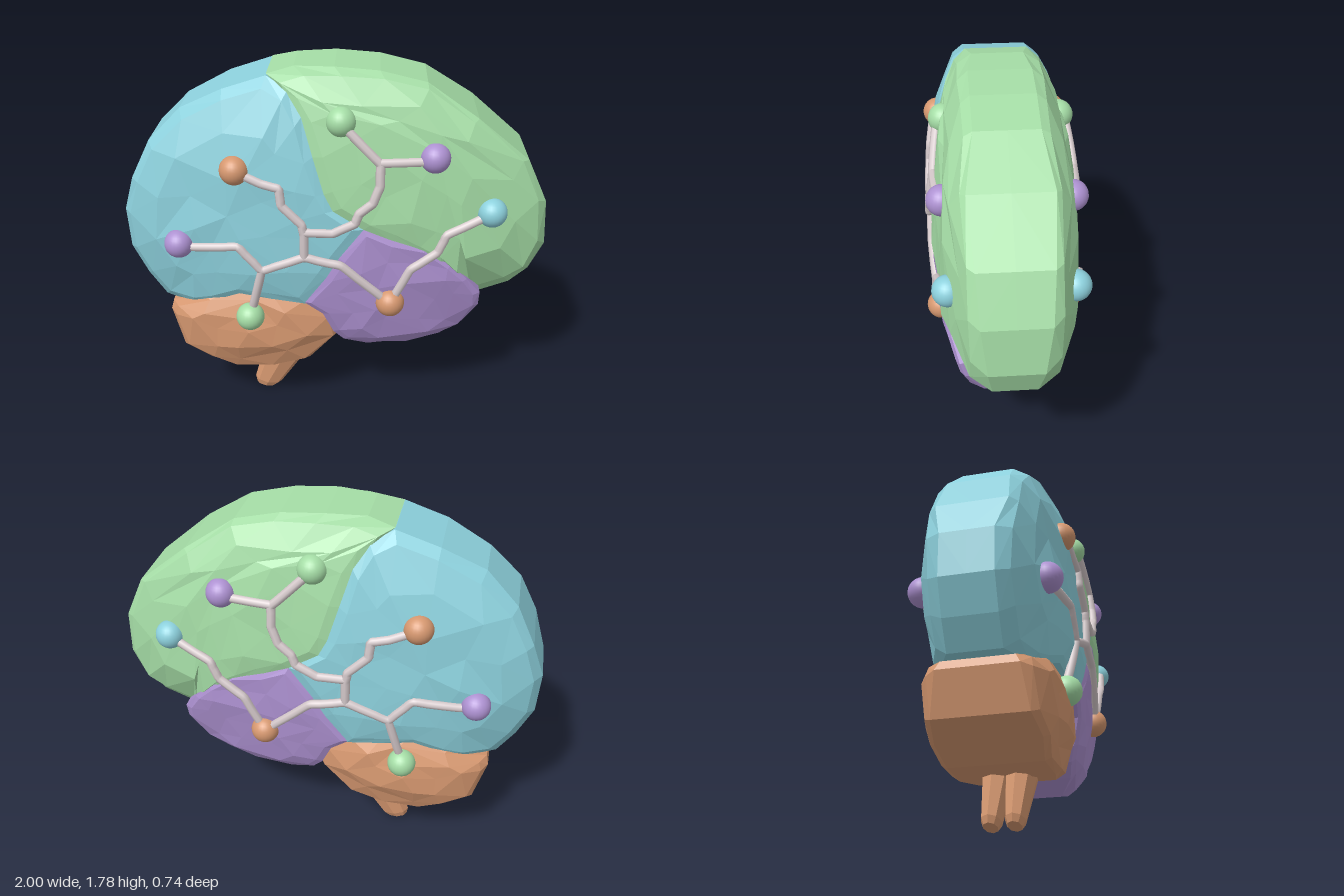
import * as THREE from 'three';

const mat = (name, color) => {
  const m = new THREE.MeshStandardMaterial({ color });
  m.name = name;
  return m;
};

// Half-depth of a rounded body: rim at the outline, rising to rim + rise at the centre
const dome = (cx, cy, rx, ry, rim, rise) => (x, y) =>
  rim + rise * Math.sqrt(Math.max(0, 1 - ((x - cx) / rx) ** 2 - ((y - cy) / ry) ** 2));
const cerebrumDepth = dome(0, 1.05, 1, 0.74, 0.13, 0.2);
const cerebellumDepth = dome(-0.4, 0.48, 0.43, 0.27, 0.17, 0.13);
// The green lobe also narrows towards its lower tip
const greenDepth = (x, y) => cerebrumDepth(x, y) * Math.min(1, 0.55 + Math.max(0, y - 0.65) * 2.25);

function seeded(seed) {
  return () => {
    seed = (seed * 16807) % 2147483647;
    return seed / 2147483647 - 0.5;
  };
}

// Faceted lobe: the outline shrinks in rings towards a centre, lifted by depth, mirrored in z
function lobeGeometry(outline, [cx, cy], depth, seed) {
  const rand = seeded(seed);
  const pts = outline.map(([x, y]) => new THREE.Vector2(x, y));
  if (THREE.ShapeUtils.area(pts) < 0) pts.reverse();
  const n = pts.length;

  const ring = (scale, count, jitter, lift) => Array.from({ length: count }, (_, j) => {
    const t = (j * n) / count, i = Math.floor(t);
    const p = pts[i].clone().lerp(pts[(i + 1) % n], t - i);
    const x = cx + (p.x - cx) * scale + rand() * jitter;
    const y = cy + (p.y - cy) * scale + rand() * jitter;
    return [x, y, depth(x, y) + lift + rand() * jitter * 0.35];
  });

  const edge = ring(1, n, 0, -0.012);
  const rings = [
    edge.map(([x, y]) => [x, y, 0]),
    edge,
    ring(0.92, n, 0.01, 0),
    ring(0.68, Math.round(n * 0.65), 0.07, 0.004),
    ring(0.36, Math.round(n * 0.36), 0.07, 0.004),
    ring(0, 1, 0.05, 0.004),
  ];

  const pos = [];
  const tri = (a, b, c) => {
    pos.push(...a, ...b, ...c);
    for (const [x, y, z] of [a, c, b]) pos.push(x, y, -z);
  };
  for (let k = 0; k < rings.length - 1; k++) {
    const A = rings[k], B = rings[k + 1];
    const a = A.length, b = B.length === 1 ? 0 : B.length;
    let i = 0, j = 0;
    while (i < a || j < b) {
      const inner = B[j % B.length];
      if (j === b || (i < a && (i + 0.5) / a <= (j + 0.5) / b)) {
        tri(A[i % a], A[(i + 1) % a], inner);
        i++;
      } else {
        tri(A[i % a], B[(j + 1) % b], inner);
        j++;
      }
    }
  }
  const g = new THREE.BufferGeometry();
  g.setAttribute('position', new THREE.Float32BufferAttribute(pos, 3));
  g.computeVertexNormals();
  return g;
}

// Tube half sunk into the cerebrum surface on one side
function vesselGeometry(path, side) {
  const pts = [];
  path.forEach(([x, y], i) => {
    const [px, py] = path[Math.max(0, i - 1)];
    const steps = i ? 3 : 1;
    for (let s = 1; s <= steps; s++) {
      const u = px + ((x - px) * s) / steps, v = py + ((y - py) * s) / steps;
      pts.push(new THREE.Vector3(u, v, side * (cerebrumDepth(u, v) + 0.01)));
    }
  });
  const curve = new THREE.CatmullRomCurve3(pts, false, 'catmullrom', 0.3);
  return new THREE.TubeGeometry(curve, pts.length * 4, 0.021, 8);
}

export function createModel() {
  const group = new THREE.Group();
  const blue = mat('blue', 0x8dd1dd);
  const green = mat('green', 0xa5dda6);
  const purple = mat('purple', 0xae92d2);
  const orange = mat('orange', 0xd69870);
  const grey = mat('vessel grey', 0xd6cacc);

  const add = (name, geometry, material, parent = group) => {
    const m = new THREE.Mesh(geometry, material);
    m.name = name;
    parent.add(m);
    return m;
  };

  // Lobes
  add('blueLobe', lobeGeometry([
    [-0.3, 1.745], [-0.2, 1.7], [-0.14, 1.59], [-0.09, 1.42], [-0.04, 1.25], [0, 1.17],
    [0.14, 1.08], [0.03, 0.93], [-0.03, 0.82], [-0.13, 0.66], [-0.3, 0.68], [-0.45, 0.7],
    [-0.6, 0.63], [-0.7, 0.6], [-0.84, 0.6], [-0.92, 0.72], [-0.99, 0.87], [-1, 1.07],
    [-0.94, 1.25], [-0.85, 1.43], [-0.7, 1.58], [-0.5, 1.68],
  ], [-0.5, 1.15], cerebrumDepth, 11), blue);

  add('greenLobe', lobeGeometry([
    [-0.3, 1.75], [-0.18, 1.78], [0, 1.785], [0.2, 1.77], [0.41, 1.72], [0.64, 1.57],
    [0.88, 1.37], [0.98, 1.16], [1, 0.93], [0.94, 0.78], [0.85, 0.71], [0.7, 0.65],
    [0.66, 0.72], [0.59, 0.8], [0.5, 0.89], [0.4, 0.96], [0.27, 1.02], [0.14, 1.08],
    [0, 1.17], [-0.04, 1.25], [-0.09, 1.42], [-0.14, 1.59], [-0.21, 1.69],
  ], [0.45, 1.45], greenDepth, 23), green);

  add('purpleLobe', lobeGeometry([
    [0.14, 1.08], [0.27, 1.03], [0.42, 0.985], [0.55, 0.89], [0.63, 0.8], [0.7, 0.71], [0.7, 0.63],
    [0.64, 0.48], [0.53, 0.4], [0.37, 0.36], [0.17, 0.38], [0.05, 0.42], [0, 0.48],
    [-0.05, 0.6], [-0.14, 0.67], [-0.03, 0.82], [0.03, 0.93],
  ], [0.33, 0.68], cerebrumDepth, 37), purple);

  add('cerebellum', lobeGeometry([
    [-0.81, 0.55], [-0.75, 0.36], [-0.62, 0.3], [-0.5, 0.24], [-0.3, 0.245], [-0.12, 0.28],
    [0.03, 0.43], [0, 0.55], [-0.1, 0.67], [-0.3, 0.72], [-0.45, 0.74], [-0.62, 0.66], [-0.8, 0.59],
  ], [-0.4, 0.48], cerebellumDepth, 53), orange);

  // Stem: a touching pair of leaning tapered prisms, each with a bevelled tip
  for (const side of [1, -1]) {
    const profile = [[0, 0], [0.05, 0], [0.07, 0.03], [0.12, 0.3], [0, 0.3]];
    const g = new THREE.LatheGeometry(profile.map(([r, y]) => new THREE.Vector2(r, y)), 8).toNonIndexed();
    const p = g.attributes.position;
    for (let i = 0; i < p.count; i++) {
      const x = p.getX(i), y = p.getY(i);
      p.setXYZ(i, x - 0.37 + y * 0.48, y - x * 0.2 + 0.01, p.getZ(i) * 0.65 + side * 0.052);
    }
    g.computeVertexNormals();
    add(side > 0 ? 'frontStem' : 'backStem', g, orange);
  }

  // Vessels and round end nodes on both faces
  const vessels = [
    [[0.04, 1.57], [0.13, 1.48], [0.21, 1.4], [0.21, 1.3], [0.18, 1.22], [0.12, 1.17],
      [0.1, 1.12], [0, 1.07], [-0.13, 1.07]],
    [[0.45, 1.41], [0.21, 1.405]],
    [[-0.44, 1.35], [-0.32, 1.3], [-0.24, 1.28], [-0.23, 1.2], [-0.14, 1.11], [-0.13, 1.06], [-0.13, 0.94]],
    [[-0.72, 0.97], [-0.65, 0.96], [-0.44, 0.98], [-0.33, 0.86], [-0.13, 0.94], [0.04, 0.9], [0.27, 0.69],
      [0.36, 0.88], [0.48, 0.97], [0.52, 1.06], [0.72, 1.155]],
    [[-0.4, 0.58], [-0.33, 0.86]],
  ];
  const nodes = [
    [0.035, 1.575, 0.255, green], [0.45, 1.42, 0.275, purple], [0.72, 1.155, 0.265, blue],
    [-0.44, 1.35, 0.285, orange], [-0.72, 0.97, 0.275, purple],
    [-0.4, 0.585, 0.29, green], [0.27, 0.69, 0.3, orange],
  ];
  const ball = new THREE.SphereGeometry(0.068, 24, 16);
  for (const side of [1, -1]) {
    const network = new THREE.Group();
    network.name = side > 0 ? 'frontVessels' : 'backVessels';
    vessels.forEach((path) => add('vessel', vesselGeometry(path, side), grey, network));
    nodes.forEach(([x, y, z, m]) => add('node', ball, m, network).position.set(x, y, side * z));
    group.add(network);
  }
  return group;
}
